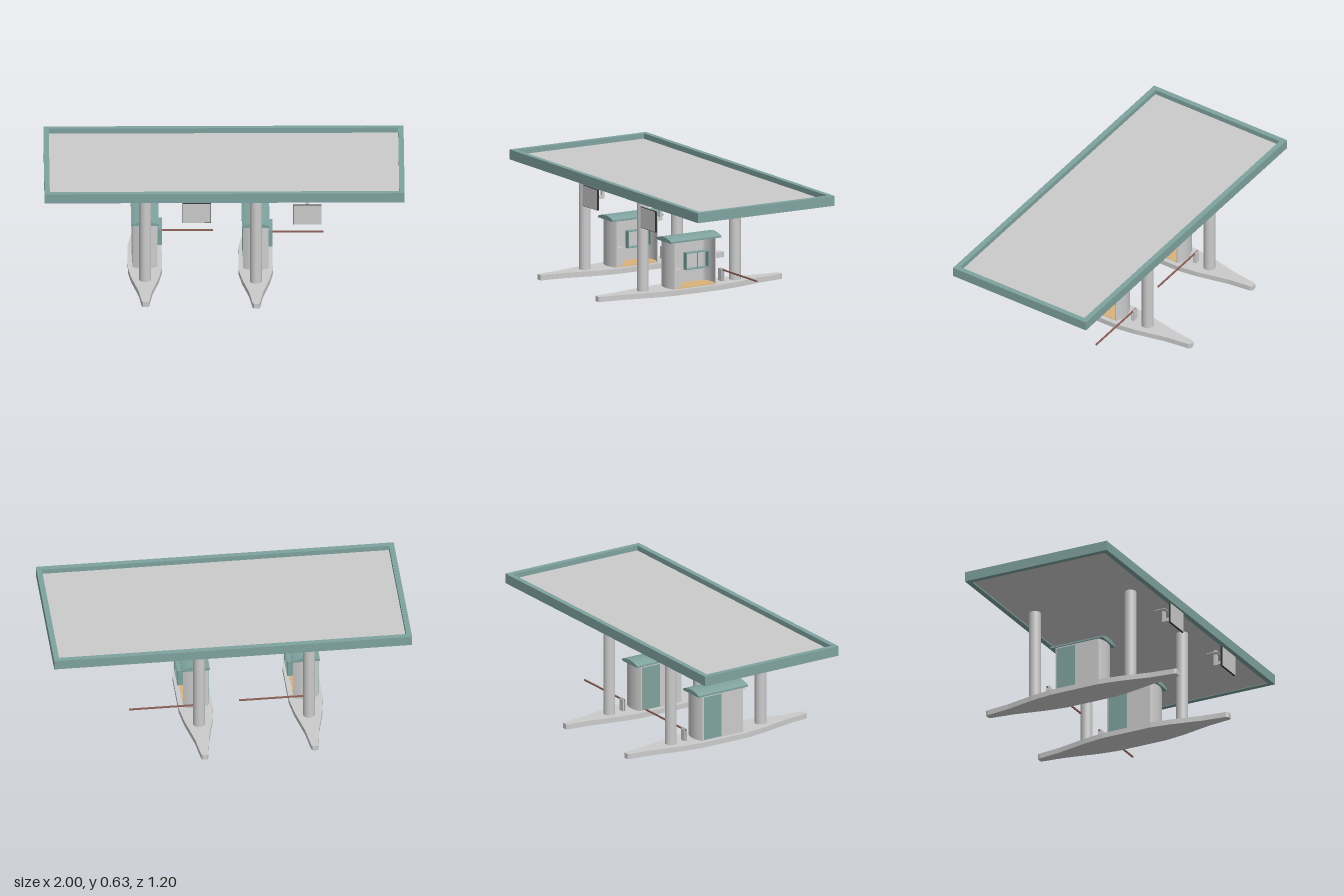
import * as THREE from 'three';

const mat = (color) => new THREE.MeshStandardMaterial({ color, side: THREE.DoubleSide });
const grey = mat(0xcccccc);
const teal = mat(0x7fa39f);
const tan = mat(0xd9b27c);
const brown = mat(0x8f625a);
const dark = mat(0x333333);

function add(parent, name, geometry, material, x = 0, y = 0, z = 0) {
  const mesh = new THREE.Mesh(geometry, material);
  mesh.name = name;
  mesh.position.set(x, y, z);
  parent.add(mesh);
  return mesh;
}

// Box given by its lower and upper limits on each axis
function box(parent, name, material, x0, x1, y0, y1, z0, z1) {
  return add(parent, name, new THREE.BoxGeometry(x1 - x0, y1 - y0, z1 - z0), material,
    (x0 + x1) / 2, (y0 + y1) / 2, (z0 + z1) / 2);
}

// Plan outline [x, z] raised from y0 to y1
function slab(parent, name, material, points, y0, y1) {
  const shape = new THREE.Shape(points.map(([x, z]) => new THREE.Vector2(x, -z)));
  const geo = new THREE.ExtrudeGeometry(shape, { depth: y1 - y0, bevelEnabled: false });
  geo.rotateX(-Math.PI / 2);
  return add(parent, name, geo, material, 0, y0, 0);
}

// Gently bulging end of the booth, running from x = +w to x = -w
function bulge(w, zSide, zMid, sign, steps = 10) {
  return Array.from({ length: steps + 1 }, (_, i) => {
    const t = 1 - (2 * i) / steps;
    return [w * t, sign * (zMid - (zMid - zSide) * t * t)];
  });
}

function createBooth() {
  const booth = new THREE.Group();
  booth.name = 'booth';

  // C-shaped wall, open towards the lane
  const outer = [...bulge(0.07, 0.135, 0.155, -1), ...bulge(0.07, 0.135, 0.155, 1).reverse()];
  const inner = [...bulge(0.07, 0.128, 0.148, -1), ...bulge(0.07, 0.128, 0.148, 1).reverse()]
    .map(([x, z]) => [Math.max(x, -0.063), z]);
  slab(booth, 'boothWall', grey, [...outer, ...inner.reverse()], 0.03, 0.298);
  slab(booth, 'boothFloor', tan, outer.map(([x, z]) => [x * 0.95, z * 0.97]), 0.029, 0.033);

  // Door on the closed side and cabinet inside
  box(booth, 'boothDoor', teal, -0.073, -0.069, 0.035, 0.285, -0.125, -0.01);
  box(booth, 'cabinet', grey, -0.06, 0.045, 0.033, 0.135, 0.08, 0.13);

  // Projecting service window
  const win = new THREE.Group();
  win.name = 'serviceWindow';
  for (const y of [0.137, 0.229]) box(win, 'windowRail', teal, 0.064, 0.095, y, y + 0.005, -0.075, 0.075);
  for (const z of [-0.075, 0.07]) box(win, 'windowJamb', teal, 0.064, 0.095, 0.137, 0.234, z, z + 0.005);
  box(win, 'windowMullion', teal, 0.088, 0.093, 0.14, 0.23, -0.002, 0.002);
  booth.add(win);

  // Low arched roof
  const arch = new THREE.Shape();
  arch.moveTo(-0.077, 0.293);
  arch.lineTo(0.077, 0.293);
  arch.lineTo(0.077, 0.303);
  arch.quadraticCurveTo(0, 0.335, -0.077, 0.303);
  arch.closePath();
  add(booth, 'boothRoof',
    new THREE.ExtrudeGeometry(arch, { depth: 0.33, bevelEnabled: false, curveSegments: 8 }),
    teal, 0, 0, -0.165);
  return booth;
}

function createBarrier() {
  const barrier = new THREE.Group();
  barrier.name = 'barrier';
  for (const z of [-0.22, -0.208]) box(barrier, 'barrierPost', grey, -0.018, 0.018, 0.03, 0.1, z, z + 0.006);
  box(barrier, 'barrierArm', brown, -0.02, 0.38, 0.09, 0.098, -0.215, -0.207);
  return barrier;
}

function createSign() {
  const sign = new THREE.Group();
  sign.name = 'laneSign';
  box(sign, 'signPanel', grey, -0.077, 0.077, 0.443, 0.557, 0.437, 0.443);
  // Dark frame and diagonal braces on the back
  for (const s of [-1, 1]) {
    box(sign, 'signFrameUpright', dark, s * 0.075 - 0.004, s * 0.075 + 0.004, 0.441, 0.559, 0.432, 0.442);
    box(sign, 'signFrameRail', dark, -0.079, 0.079, 0.5 + s * 0.055 - 0.004, 0.5 + s * 0.055 + 0.004, 0.432, 0.442);
    add(sign, 'signBrace', new THREE.BoxGeometry(0.17, 0.005, 0.005), dark, 0, 0.5, 0.434)
      .rotation.z = s * 0.63;
  }
  // Elbow bracket up to the canopy
  box(sign, 'signArm', grey, -0.01, 0.01, 0.488, 0.508, 0.352, 0.434);
  box(sign, 'signHanger', grey, -0.01, 0.01, 0.488, 0.58, 0.352, 0.368);
  box(sign, 'signMountPlate', grey, -0.035, 0.035, 0.554, 0.558, 0.32, 0.385);
  return sign;
}

function createLane(x, y) {
  const lane = new THREE.Group();
  lane.name = 'tollLane';
  lane.position.set(x, y, 0);

  // Boat-shaped kerb island
  const quarter = [[0.095, 0.15], [0.078, 0.27], [0.038, 0.45], [0.021, 0.585], [0.014, 0.598]];
  const front = [...quarter, ...quarter.map(([a, b]) => [-a, b]).reverse()];
  slab(lane, 'island', grey, [...front, ...front.map(([a, b]) => [-a, -b])], 0, 0.03);

  for (const z of [-0.3, 0.3]) {
    add(lane, 'column', new THREE.CylinderGeometry(0.033, 0.033, 0.55, 24), grey, 0, 0.305, z);
  }
  lane.add(createBooth(), createBarrier());
  const sign = createSign();
  sign.position.x = 0.285;
  lane.add(sign);
  return lane;
}

export function createModel() {
  const model = new THREE.Group();
  model.name = 'tollStation';

  // Canopy: recessed deck inside a raised rim
  const canopy = new THREE.Group();
  canopy.name = 'canopy';
  box(canopy, 'canopyDeck', grey, -0.97, 0.97, 0.582, 0.605, -0.41, 0.42);
  for (const s of [-1, 1]) {
    box(canopy, 'canopyEndRim', teal, s * 0.985 - 0.015, s * 0.985 + 0.015, 0.578, 0.634, -0.443, 0.447);
    const z = 0.002 + s * 0.43;
    box(canopy, 'canopySideRim', teal, -0.97, 0.97, 0.578, 0.634, z - 0.015, z + 0.015);
  }
  model.add(canopy);

  model.add(createLane(-0.44, 0.012), createLane(0.175, 0));
  return model;
}
